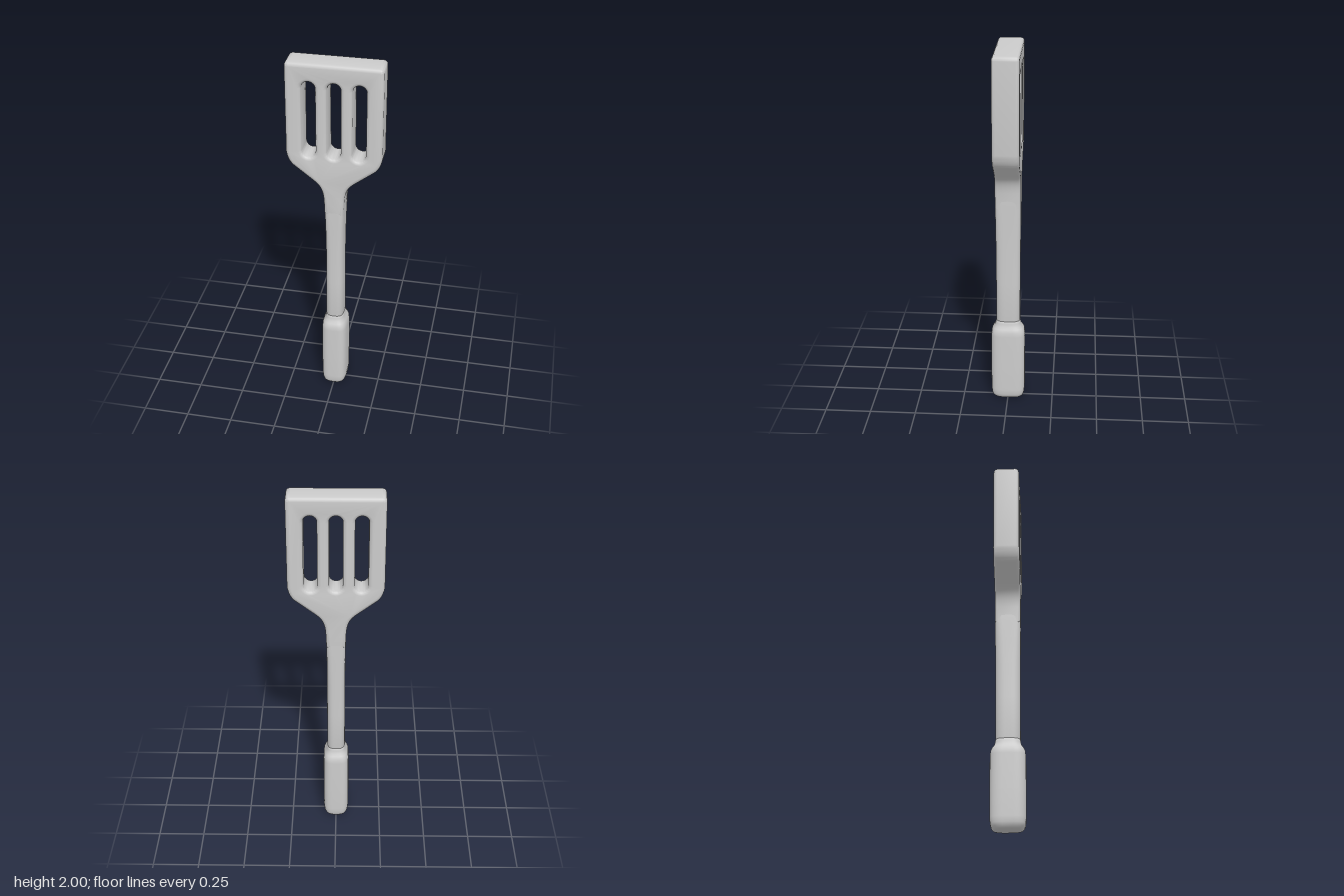
import * as THREE from 'three';
import { mergeVertices, toCreasedNormals } from 'three/addons/utils/BufferGeometryUtils.js';

const material = new THREE.MeshStandardMaterial({ color: 0xcccccc });

// Closed loft through superellipse rings [y, halfWidth, halfDepth, squareness]
function loft(rings, sides = 48) {
  const pos = [], index = [];
  rings.forEach(([y, hx, hz, n]) => {
    for (let j = 0; j < sides; j++) {
      const a = (j / sides) * Math.PI * 2, c = Math.cos(a), s = Math.sin(a);
      pos.push(hx * Math.sign(c) * Math.abs(c) ** (2 / n), y, hz * Math.sign(s) * Math.abs(s) ** (2 / n));
    }
  });
  const last = (rings.length - 1) * sides, bottom = pos.length / 3, top = bottom + 1;
  pos.push(0, rings[0][0], 0, 0, rings[rings.length - 1][0], 0);
  for (let j = 0; j < sides; j++) {
    const k = (j + 1) % sides;
    for (let i = 0; i < last; i += sides) {
      index.push(i + j, i + sides + j, i + k, i + k, i + sides + j, i + sides + k);
    }
    index.push(bottom, j, k, top, last + k, last + j);
  }
  const geo = new THREE.BufferGeometry();
  geo.setAttribute('position', new THREE.Float32BufferAttribute(pos, 3));
  geo.setIndex(index);
  geo.computeVertexNormals();
  return geo;
}

// Flared blade with three rounded slots and soft edges
function bladeGeometry() {
  const s = new THREE.Shape();
  s.moveTo(-0.05, 1.14);
  s.lineTo(0.05, 1.14);
  s.lineTo(0.054, 1.23);
  s.bezierCurveTo(0.06, 1.3, 0.08, 1.32, 0.12, 1.35);
  s.lineTo(0.21, 1.42);
  s.quadraticCurveTo(0.242, 1.445, 0.25, 1.5);
  s.lineTo(0.25, 1.975);
  s.quadraticCurveTo(0.25, 2, 0.225, 2);
  s.lineTo(-0.225, 2);
  s.quadraticCurveTo(-0.25, 2, -0.25, 1.975);
  s.lineTo(-0.25, 1.5);
  s.quadraticCurveTo(-0.242, 1.445, -0.21, 1.42);
  s.lineTo(-0.12, 1.35);
  s.bezierCurveTo(-0.08, 1.32, -0.06, 1.3, -0.054, 1.23);
  s.closePath();
  const r = 0.035;
  for (const x of [-0.13, 0, 0.13]) {
    const slot = new THREE.Path();
    slot.absarc(x, 1.9 - r, r, 0, Math.PI, false);
    slot.absarc(x, 1.48 + r, r, Math.PI, Math.PI * 2, false);
    slot.closePath();
    s.holes.push(slot);
  }
  const bevel = 0.02, half = 0.07;
  let geo = new THREE.ExtrudeGeometry(s, {
    depth: 2 * (half - bevel), bevelThickness: bevel, bevelSize: bevel,
    bevelOffset: -bevel, bevelSegments: 4, curveSegments: 10,
  });
  geo.translate(0, 0, bevel - half);
  geo.deleteAttribute('uv');
  geo.deleteAttribute('normal');
  geo = mergeVertices(geo, 1e-5);
  return toCreasedNormals(geo, 0.7);
}

export function createModel() {
  const group = new THREE.Group();
  const add = (name, geo) => {
    const mesh = new THREE.Mesh(geo, material);
    mesh.name = name;
    group.add(mesh);
  };

  add('blade', bladeGeometry());

  // Slim shaft, squarer where it meets the blade
  add('shaft', loft([
    [0.4, 0.049, 0.066, 3], [0.7, 0.049, 0.066, 3], [0.9, 0.049, 0.067, 3.2],
    [1.05, 0.05, 0.069, 4], [1.15, 0.052, 0.07, 5], [1.22, 0.052, 0.069, 6], [1.28, 0.05, 0.066, 6],
  ]));

  // Thick grip with a rounded foot and a shoulder easing into the shaft
  add('grip', loft([
    [0, 0.042, 0.066, 3.2], [0.004, 0.052, 0.076, 3.4], [0.014, 0.061, 0.085, 3.5],
    [0.03, 0.067, 0.09, 3.6], [0.06, 0.07, 0.093, 3.6], [0.2, 0.071, 0.094, 3.6],
    [0.39, 0.07, 0.093, 3.6], [0.415, 0.068, 0.09, 3.5], [0.432, 0.062, 0.082, 3.3],
    [0.445, 0.055, 0.073, 3.1], [0.462, 0.051, 0.068, 3], [0.485, 0.048, 0.065, 3],
  ]));

  return group;
}
